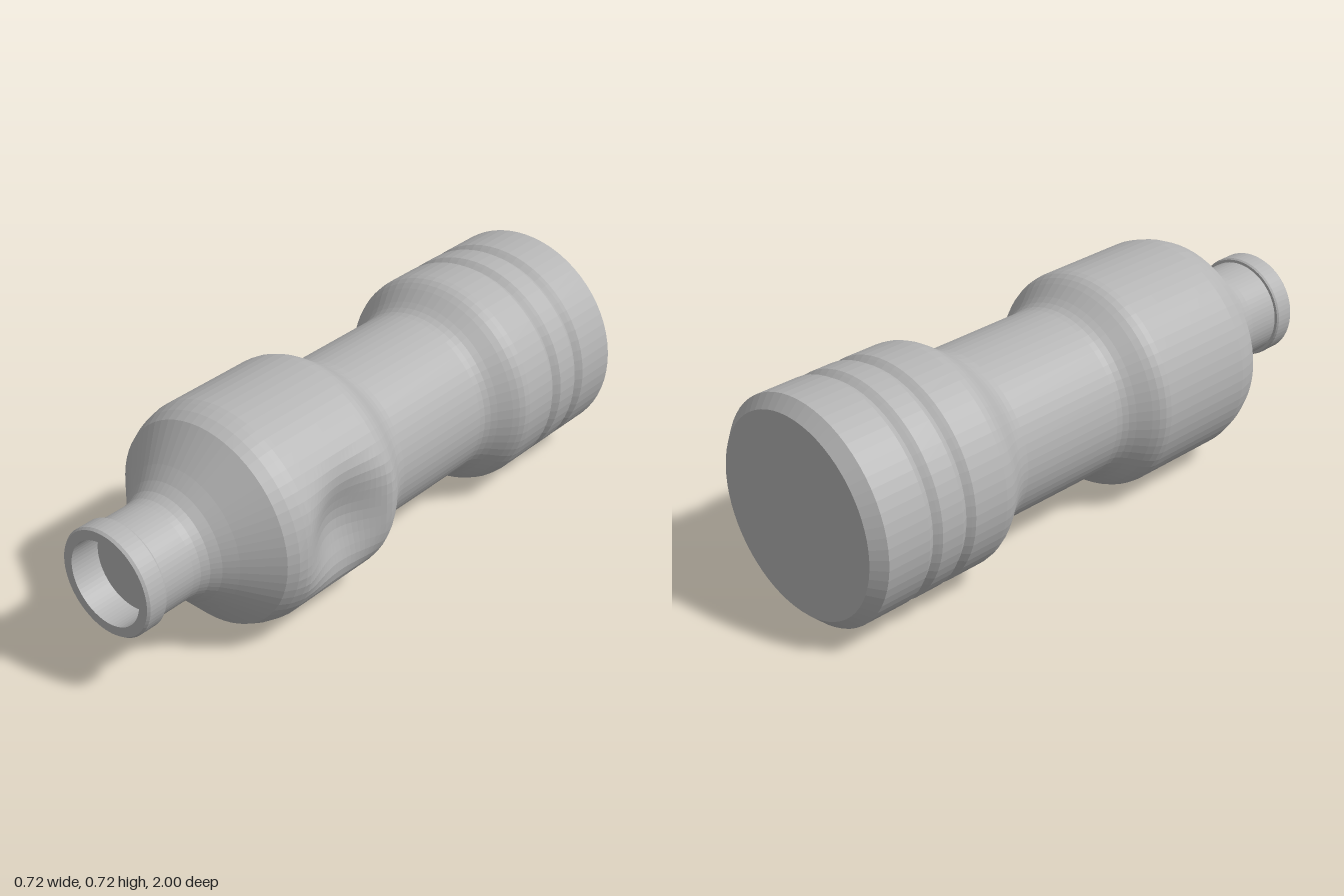
import * as THREE from 'three';

const R = 0.358; // body radius
const WAIST = 0.28;
const SIDES = 64;

// Eased radius change between two positions along the axis
function ease(r0, z0, r1, z1, steps = 8) {
  return Array.from({ length: steps + 1 }, (_, i) => {
    const t = i / steps;
    return [r0 + (r1 - r0) * (0.5 - 0.5 * Math.cos(Math.PI * t)), z0 + (z1 - z0) * t];
  });
}

// Small ring groove pressed into the body
const groove = (z) => [[R, z - 0.024], [R - 0.006, z - 0.014], [R - 0.015, z], [R - 0.006, z + 0.014], [R, z + 0.024]];

// Straight run with extra rows, so that it can be dented
const run = (r, z0, z1, steps) =>
  Array.from({ length: steps - 1 }, (_, i) => [r, z0 + ((z1 - z0) * (i + 1)) / steps]);

// Turned part along z, with an optional rule that moves its vertices
function turned(name, profile, material, shape) {
  const lathe = new THREE.LatheGeometry(profile.map(([r, z]) => new THREE.Vector2(r, z)), SIDES);
  lathe.rotateX(Math.PI / 2);
  if (shape) shape(lathe.attributes.position);
  const geometry = lathe.toNonIndexed();
  geometry.computeVertexNormals(); // faceted
  const mesh = new THREE.Mesh(geometry, material);
  mesh.name = name;
  return mesh;
}

// Round thumb dent in the left side
function dent(p) {
  const depth = 0.085, radius = 0.23, zc = 0.345;
  for (let i = 0; i < p.count; i++) {
    if (p.getX(i) <= 0) continue;
    const d = Math.hypot(p.getY(i), p.getZ(i) - zc);
    if (d < radius) p.setX(i, p.getX(i) - depth * (0.5 + 0.5 * Math.cos((Math.PI * d) / radius)));
  }
}

export function createModel() {
  const group = new THREE.Group();
  group.name = 'bottle';
  const grey = new THREE.MeshStandardMaterial({ color: 0xb4b4b4 });
  grey.name = 'grey';

  const bottle = new THREE.Group();
  bottle.name = 'bottleParts';
  bottle.position.y = 0.36;
  group.add(bottle);

  // Chamfered base with two grooves, narrowing to the waist
  bottle.add(turned('base', [
    [0, -1], [0.32, -1], [R, -0.962],
    ...groove(-0.79), ...groove(-0.665),
    ...ease(R, -0.52, WAIST, -0.36),
  ], grey));

  // Grip between the two wide sections
  bottle.add(turned('waist', [[WAIST, -0.36], [WAIST, 0.02]], grey));

  // Dented body and the shoulder down to the neck
  bottle.add(turned('body', [
    ...ease(WAIST, 0.02, R, 0.18),
    ...run(R, 0.18, 0.52, 20),
    [R, 0.52], [0.354, 0.54], [0.346, 0.57], [0.33, 0.605], [0.28, 0.65],
    [0.23, 0.695], [0.195, 0.73], [0.174, 0.758], [0.163, 0.785], [0.16, 0.81],
  ], grey, dent));

  bottle.add(turned('neck', [[0.16, 0.81], [0.16, 0.925]], grey));

  // Rounded lip with a shallow open mouth
  bottle.add(turned('lip', [
    [0.16, 0.925], [0.169, 0.926], [0.173, 0.932], [0.173, 0.992], [0.167, 1],
    [0.136, 1], [0.136, 0.9], [0, 0.9],
  ], grey));

  return group;
}
